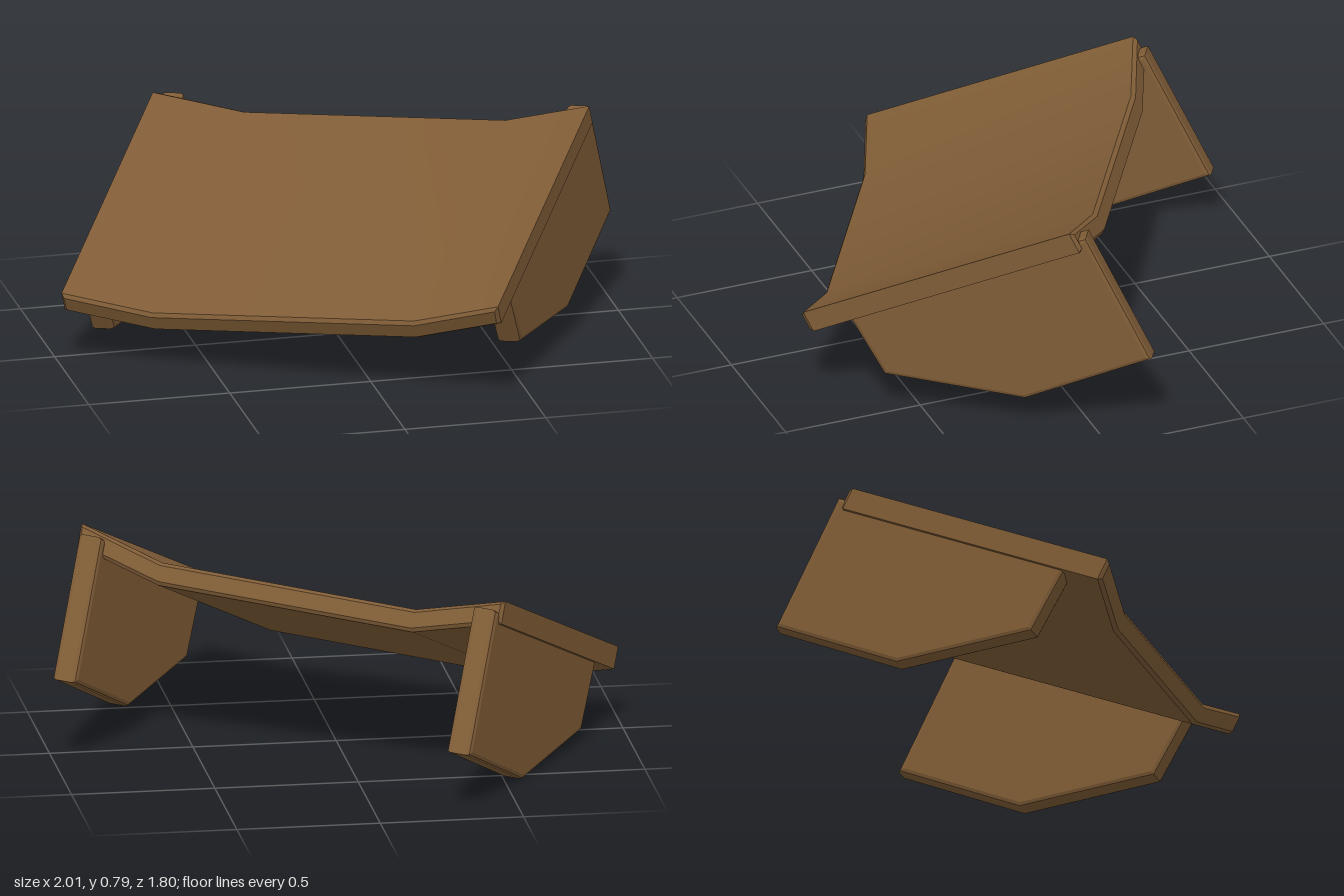
import * as THREE from 'three';
import { toCreasedNormals } from 'three/addons/utils/BufferGeometryUtils.js';

// Extrude an outline by a total depth, with chamfers kept inside the outline
function slab(points, depth, bevel, segments) {
  const shape = new THREE.Shape(points.map(([x, y]) => new THREE.Vector2(x, y)));
  return new THREE.ExtrudeGeometry(shape, {
    depth: depth - 2 * bevel,
    bevelEnabled: true,
    bevelSize: bevel,
    bevelThickness: bevel,
    bevelOffset: -bevel,
    bevelSegments: segments,
  }).translate(0, 0, bevel);
}

export function createModel() {
  const wood = new THREE.MeshStandardMaterial({ color: 0x7f5c36 });
  wood.name = 'brownWood';
  const group = new THREE.Group();
  group.name = 'tippedBench';

  // Slightly skewed frame of the tipped bench: width, up and front axes
  const frame = new THREE.Matrix4().makeBasis(
    new THREE.Vector3(0.865, 0.07, 0.5),
    new THREE.Vector3(-0.239, 0.894, 0.378),
    new THREE.Vector3(-0.501, -0.408, 0.763),
  ).setPosition(0.2, 0.745, -0.305);

  function add(name, geometry) {
    const mesh = new THREE.Mesh(toCreasedNormals(geometry.applyMatrix4(frame), 0.36), wood);
    mesh.name = name;
    group.add(mesh);
  }

  // Dished seat: four-point curve with constant thickness
  const top = [[-0.785, 0], [-0.47, -0.084], [0.47, -0.084], [0.785, 0]];
  const under = top.map(([x, y]) => [x, y - 0.08]);
  add('seat', slab([...under, ...top.reverse()], 1.048, 0.012, 1));

  // Two side legs with a sloping lower front edge (outline in front, up)
  const outline = [[-0.03, -0.04], [-0.03, -0.555], [0.46, -0.562], [0.885, -0.32], [0.9, -0.05]];
  const thickness = 0.088;
  for (const [name, outer] of [['leftLeg', 0.772], ['rightLeg', -0.776 + thickness]]) {
    add(name, slab(outline, thickness, 0.016, 2).rotateY(-Math.PI / 2).translate(outer, 0, 0));
  }
  return group;
}
